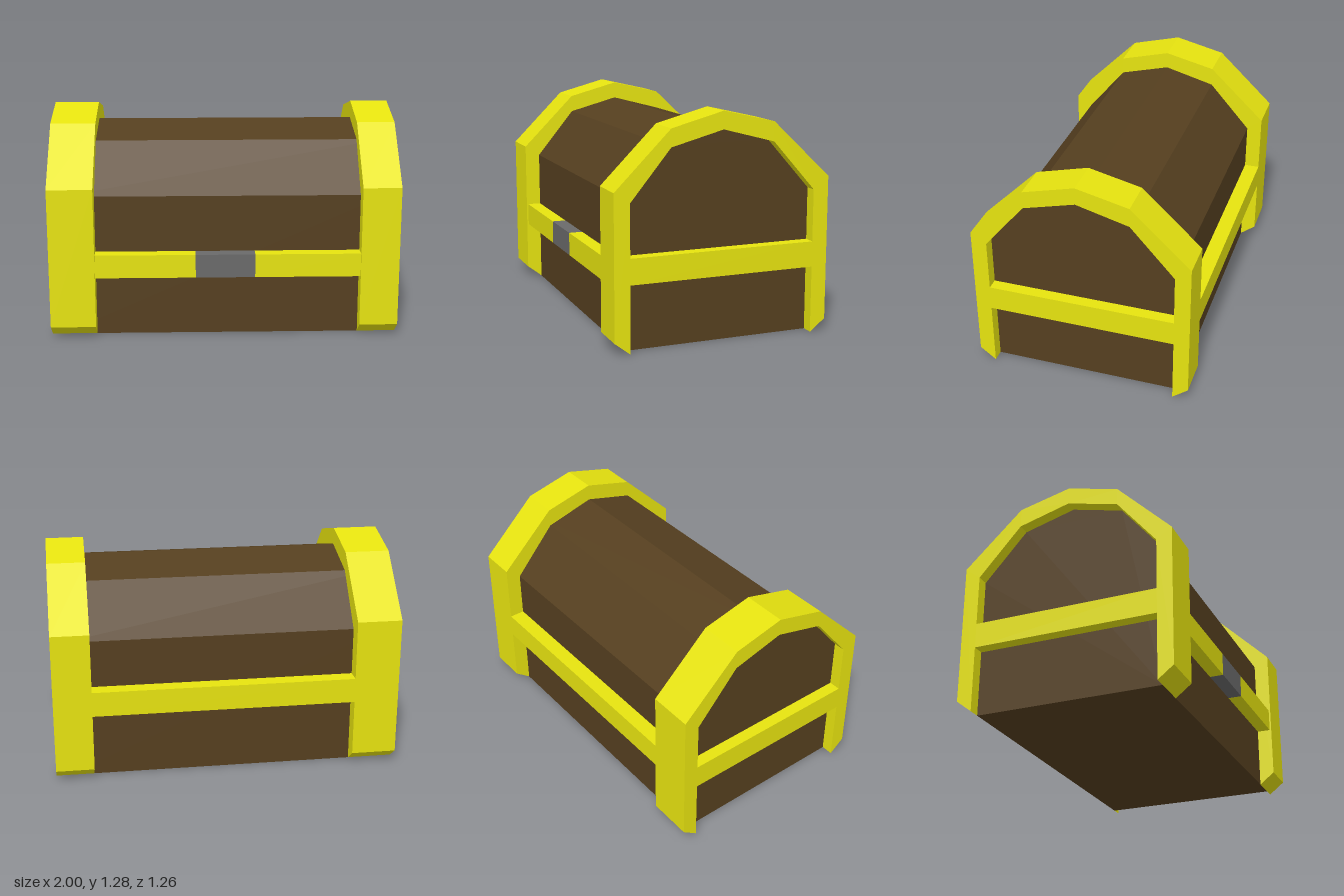
import * as THREE from 'three';

const material = (color) => new THREE.MeshStandardMaterial({ color, flatShading: true });

export function createModel() {
  const chest = new THREE.Group();
  chest.name = 'chest';
  const wood = material(0x553f1f);
  const gold = material(0xe6e30f);
  const iron = material(0x6a6a6a);

  // Cross-sections as [z, y], running from the front foot over the lid to the back foot
  const inner = [[0.54, 0], [0.54, 0.82], [0.31, 1.1], [0.01, 1.18], [-0.29, 1.1], [-0.54, 0.82], [-0.54, 0]];
  const outer = [[0.54, 0], [0.63, 0.07], [0.63, 0.88], [0.31, 1.2], [0.01, 1.28],
    [-0.29, 1.21], [-0.63, 0.89], [-0.63, 0.07], [-0.54, 0]];

  function add(name, geometry, mat) {
    const mesh = new THREE.Mesh(geometry, mat);
    mesh.name = name;
    chest.add(mesh);
  }

  // Extrude a z/y outline along x
  function prism(name, points, x0, x1, mat) {
    const shape = new THREE.Shape(points.map(([z, y]) => new THREE.Vector2(z, y)));
    const geometry = new THREE.ExtrudeGeometry(shape, { depth: x1 - x0, bevelEnabled: false });
    geometry.rotateY(-Math.PI / 2).translate(x1, 0, 0);
    add(name, geometry, mat);
  }

  // Box given by its limits on each axis
  function block(name, [x0, x1], [y0, y1], [z0, z1], mat) {
    const geometry = new THREE.BoxGeometry(x1 - x0, y1 - y0, z1 - z0);
    geometry.translate((x0 + x1) / 2, (y0 + y1) / 2, (z0 + z1) / 2);
    add(name, geometry, mat);
  }

  // Wooden body with domed lid, set back from the ends of the bands
  prism('woodenBody', inner, -0.93, 0.93, wood);

  // Arched bands at both ends, open at the bottom
  const arch = [...outer, ...inner.slice(1, -1).reverse()];
  prism('rightBand', arch, -1, -0.74, gold);
  prism('leftBand', arch, 0.78, 1, gold);

  // Front rail, split around the lock plate
  const railY = [0.36, 0.495];
  const railZ = [0.53, 0.62];
  block('frontRailRight', [-0.74, -0.165], railY, railZ, gold);
  block('lockPlate', [-0.165, 0.175], railY, railZ, iron);
  block('frontRailLeft', [0.175, 0.78], railY, railZ, gold);

  // Back and end rails
  block('backRail', [-0.74, 0.78], [0.4, 0.545], [-0.63, -0.53], gold);
  block('leftRail', [0.92, 1], [0.38, 0.525], [-0.54, 0.54], gold);
  block('rightRail', [-1, -0.92], [0.38, 0.525], [-0.54, 0.54], gold);

  return chest;
}
